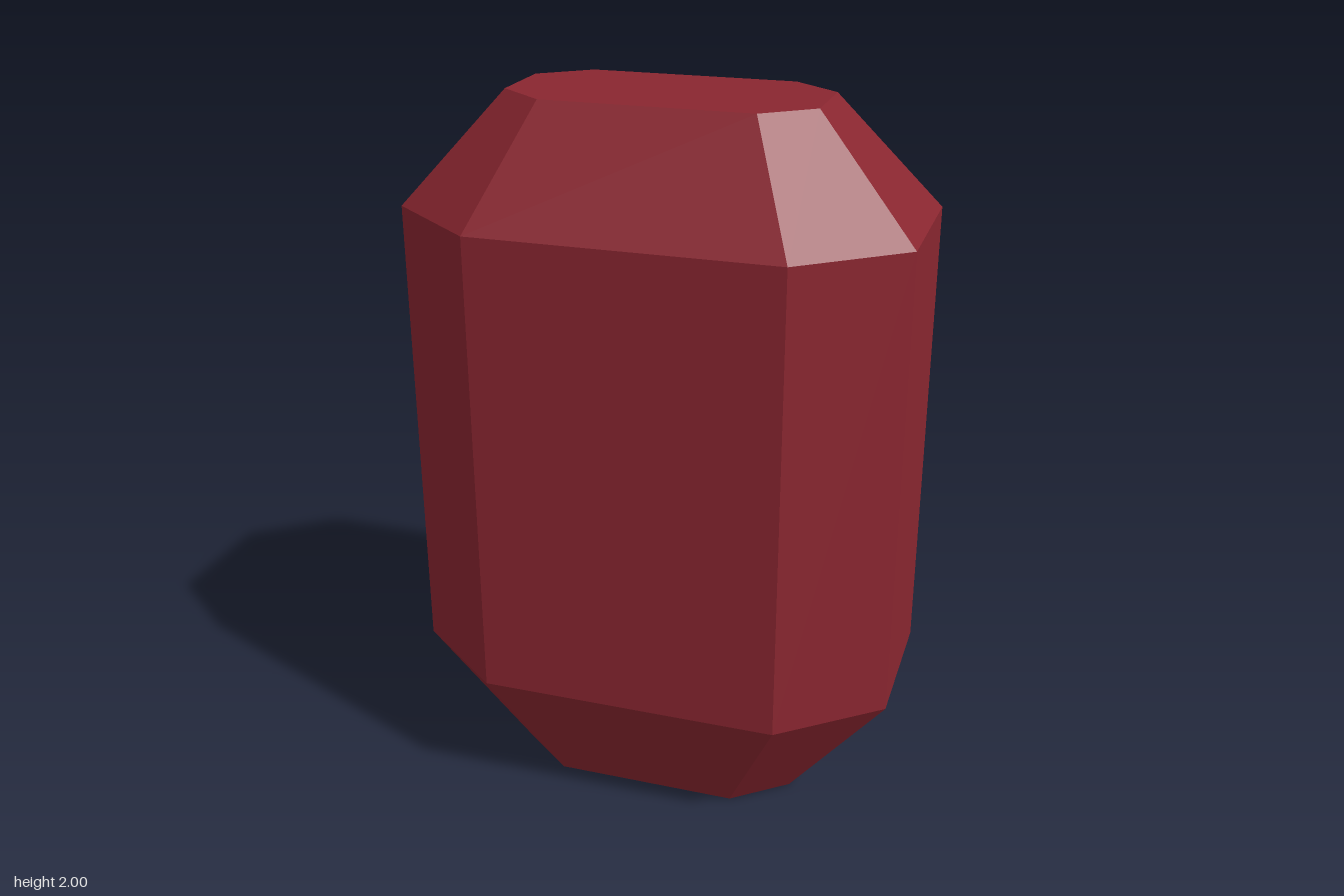
import * as THREE from 'three';

// Eight-cornered ring: half width x, half depth z, and where the cut corners begin
const ring = ({ y, x, z, cutX, cutZ, shiftZ = 0 }) =>
  [[x, cutZ], [cutX, z], [-cutX, z], [-x, cutZ], [-x, -cutZ], [-cutX, -z], [cutX, -z], [x, -cutZ]]
    .map(([px, pz]) => [px, y, pz + shiftZ]);

// Join stacked rings with flat facets and close both ends
function facetedSolid(rings) {
  const points = [];
  const n = rings[0].length;
  const top = rings[rings.length - 1];
  for (let r = 0; r < rings.length - 1; r++) {
    const lower = rings[r], upper = rings[r + 1];
    for (let i = 0; i < n; i++) {
      const j = (i + 1) % n;
      points.push(lower[j], lower[i], upper[i], lower[j], upper[i], upper[j]);
    }
  }
  for (let k = 1; k < n - 1; k++) {
    points.push(rings[0][0], rings[0][k], rings[0][k + 1]);
    points.push(top[0], top[k + 1], top[k]);
  }
  const geometry = new THREE.BufferGeometry();
  geometry.setAttribute('position', new THREE.Float32BufferAttribute(points.flat(), 3));
  geometry.computeVertexNormals(); // unshared corners keep every facet flat
  return geometry;
}

export function createModel() {
  const group = new THREE.Group();
  group.name = 'gem';
  const darkRed = new THREE.MeshStandardMaterial({ color: 0x8a2630 });
  darkRed.name = 'dark red';

  // Tapered base, straight girdle, tapered crown
  const gemBody = new THREE.Mesh(facetedSolid([
    ring({ y: 0, x: 0.41, z: 0.26, cutX: 0.26, cutZ: 0.14 }),
    ring({ y: 0.37, x: 0.69, z: 0.427, cutX: 0.42, cutZ: 0.212 }),
    ring({ y: 1.69, x: 0.69, z: 0.427, cutX: 0.42, cutZ: 0.212 }),
    ring({ y: 2, x: 0.417, z: 0.21, cutX: 0.285, cutZ: 0.105, shiftZ: 0.012 }),
  ]), darkRed);
  gemBody.name = 'gemBody';
  group.add(gemBody);
  return group;
}
